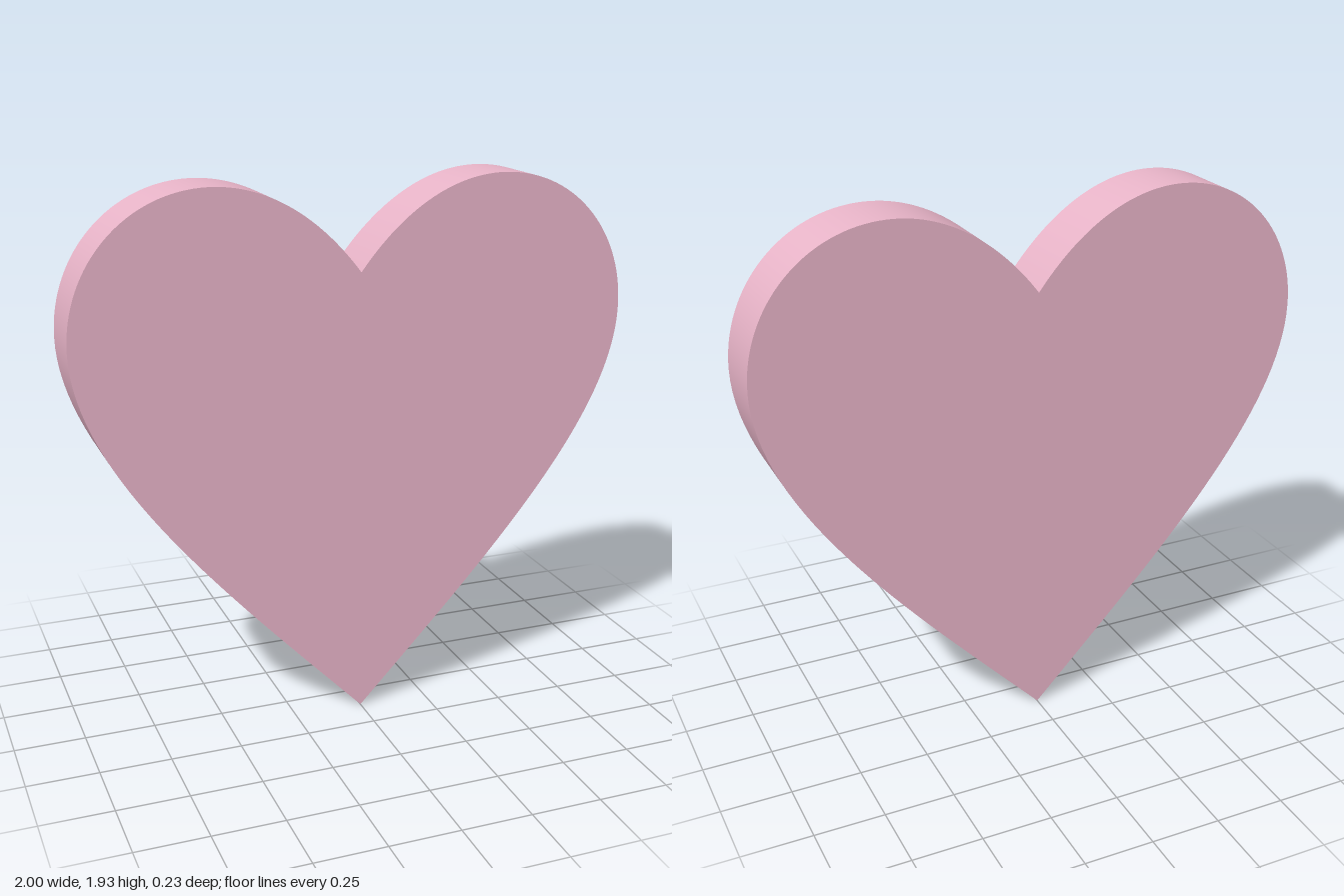
import * as THREE from 'three';
import { toCreasedNormals } from 'three/addons/utils/BufferGeometryUtils.js';

const THICKNESS = 0.23;

// Heart outline, counter-clockwise from the bottom tip
function heartShape() {
  const s = new THREE.Shape();
  s.moveTo(0, 0);
  s.bezierCurveTo(0.52, 0.54, 1, 1.02, 1, 1.43);
  s.bezierCurveTo(1, 1.71, 0.79, 1.93, 0.52, 1.93);
  s.bezierCurveTo(0.33, 1.93, 0.15, 1.82, 0, 1.62);
  s.bezierCurveTo(-0.15, 1.82, -0.33, 1.93, -0.52, 1.93);
  s.bezierCurveTo(-0.79, 1.93, -1, 1.71, -1, 1.43);
  s.bezierCurveTo(-1, 1.02, -0.52, 0.54, 0, 0);
  return s;
}

export function createModel() {
  const group = new THREE.Group();
  group.name = 'heart';

  // Flat slab with smooth rim and sharp face edges
  const extruded = new THREE.ExtrudeGeometry(heartShape(), {
    depth: THICKNESS,
    bevelEnabled: false,
    curveSegments: 32,
  });
  extruded.translate(0, 0, -THICKNESS / 2);

  const body = new THREE.Mesh(
    toCreasedNormals(extruded, Math.PI / 6),
    new THREE.MeshStandardMaterial({ color: 0xe8b4c8 })
  );
  body.name = 'heartBody';
  group.add(body);
  return group;
}
